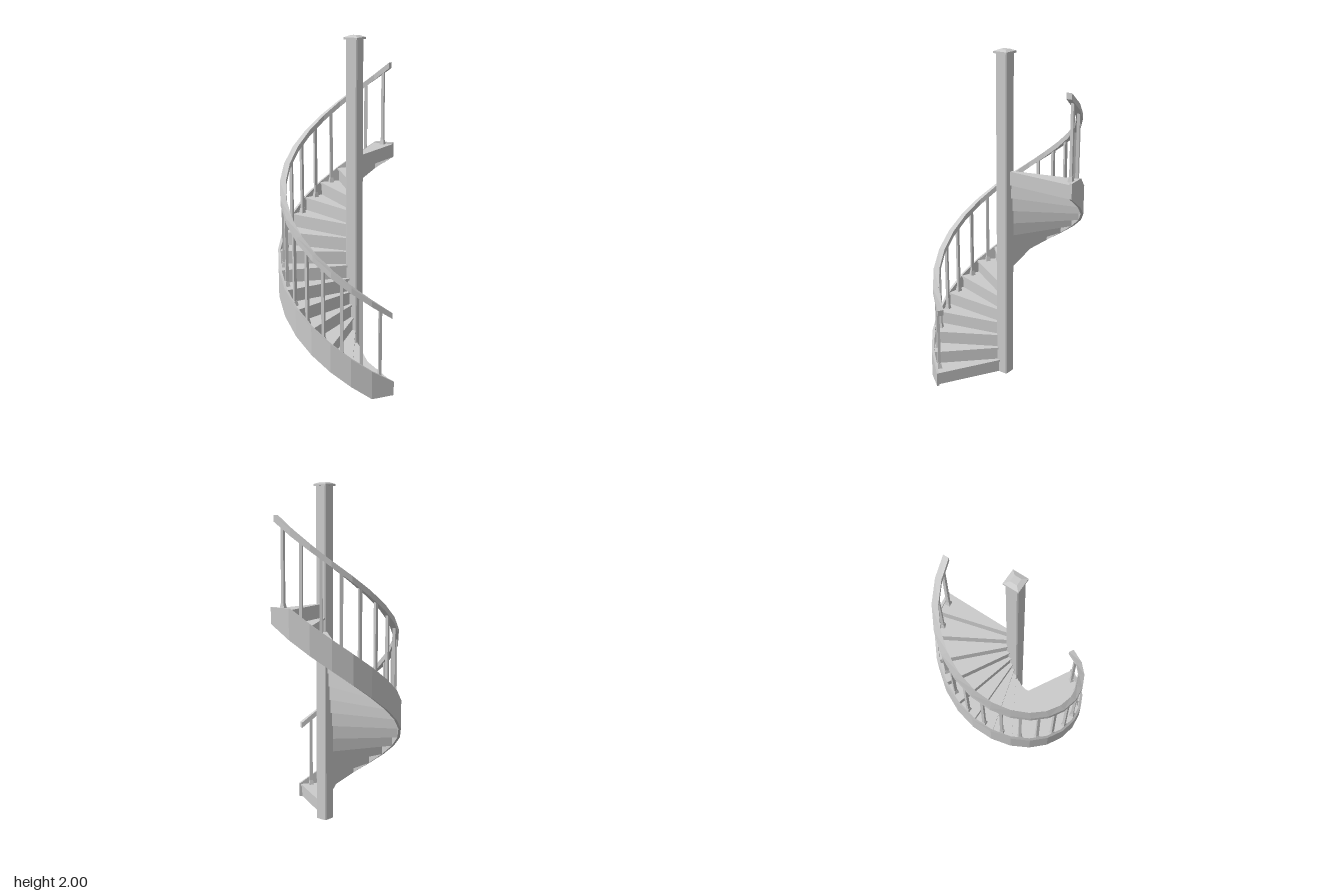
import * as THREE from 'three';

const CX = 0.024, STEPS = 16, RISE = 1.307 / STEPS, START = 30, TURN = 15;
const rad = THREE.MathUtils.degToRad;
const material = new THREE.MeshStandardMaterial({ color: 0xcccccc, flatShading: true });

function add(parent, name, geometry, x = 0, y = 0, z = 0) {
  const mesh = new THREE.Mesh(geometry, material);
  mesh.name = name;
  mesh.position.set(x, y, z);
  parent.add(mesh);
  return mesh;
}

// Flat outline in x/z extruded downwards from y = 0
function slab(points, height) {
  const shape = new THREE.Shape(points.map(([x, z]) => new THREE.Vector2(x, z)));
  return new THREE.ExtrudeGeometry(shape, { depth: height, bevelEnabled: false }).rotateX(Math.PI / 2);
}

// Wedge between two angles; its front edge is moved forward by the nosing
function wedge(a0, a1, radius, nosing, height) {
  const c0 = Math.cos(rad(a0)), s0 = Math.sin(rad(a0));
  const c1 = Math.cos(rad(a1)), s1 = Math.sin(rad(a1));
  const ox = s0 * nosing, oz = -c0 * nosing;
  const points = [[0, 0], [ox, oz], [c0 * radius + ox, s0 * radius + oz]];
  if (nosing) points.push([c0 * radius, s0 * radius]);
  points.push([c1 * radius, s1 * radius]);
  if (!nosing) points.splice(1, 1);
  return slab(points, height);
}

// Rectangular section swept around the post, with bottom and top heights by angle
function helicalBand(angles, ri, ro, bottom, top) {
  const pos = [], index = [];
  angles.forEach((a, i) => {
    const c = Math.cos(rad(a)), s = Math.sin(rad(a)), b = bottom(a), t = top(a);
    for (const [r, y] of [[ri, b], [ro, b], [ro, t], [ri, t]]) pos.push(c * r, y, s * r);
    if (i === angles.length - 1) return;
    for (let j = 0; j < 4; j++) {
      const p = i * 4 + j, q = i * 4 + (j + 1) % 4;
      index.push(p, q, p + 4, q, q + 4, p + 4);
    }
  });
  const e = (angles.length - 1) * 4;
  index.push(0, 2, 1, 0, 3, 2, e, e + 1, e + 2, e, e + 2, e + 3);
  const g = new THREE.BufferGeometry();
  g.setAttribute('position', new THREE.Float32BufferAttribute(pos, 3));
  g.setIndex(index);
  const flat = g.toNonIndexed();
  flat.computeVertexNormals();
  return flat;
}

// Four-sided frustum with faces square to the axes
function frustum(topWidth, bottomWidth, height) {
  return new THREE.CylinderGeometry(topWidth * Math.SQRT1_2, bottomWidth * Math.SQRT1_2, height, 4)
    .rotateY(Math.PI / 4);
}

export function createModel() {
  const model = new THREE.Group();
  model.name = 'spiralStaircase';
  const stair = new THREE.Group();
  stair.name = 'stair';
  stair.position.x = CX;
  model.add(stair);

  // Central post with slightly chamfered corners, and its cap
  const h = 0.0375, k = h - 0.006;
  const outline = [[h, -k], [h, k], [k, h], [-k, h], [-h, k], [-h, -k], [-k, -h], [k, -h]];
  add(stair, 'post', slab(outline, 1.98), 0, 1.98);
  add(stair, 'capPlate', new THREE.BoxGeometry(0.09, 0.012, 0.09), 0, 1.984);
  add(stair, 'capTop', frustum(0.04, 0.088, 0.01), 0, 1.995);

  const climb = a => RISE * (a - START) / TURN;
  const railBottom = a => 0.475 + climb(a);

  for (let i = 0; i < STEPS; i++) {
    const a = START + i * TURN, top = (i + 1) * RISE, plate = 0.012;
    // Riser block with an overhanging tread
    add(stair, 'riser', wedge(a, a + TURN, 0.444, 0, RISE - plate), 0, top - plate);
    add(stair, 'tread', wedge(a, a + TURN, 0.444, 0.009, plate), 0, top);

    // Baluster and its foot at the middle of the step
    const mid = a + TURN / 2, r = 0.417;
    const baluster = new THREE.Group();
    baluster.name = 'baluster';
    baluster.position.set(Math.cos(rad(mid)) * r, top, Math.sin(rad(mid)) * r);
    baluster.rotation.y = -rad(mid);
    stair.add(baluster);
    const height = railBottom(mid) + 0.012 - top;
    add(baluster, 'balusterShaft', new THREE.BoxGeometry(0.017, height, 0.017), 0, height / 2);
    add(baluster, 'balusterFoot', frustum(0.019, 0.03, 0.03), 0, 0.015);
  }

  // Outer stringer, level at the foot and at the landing
  const sections = Array.from({ length: STEPS }, (_, i) => START + (i + 1) * TURN);
  add(stair, 'stringer', helicalBand([28, ...sections], 0.44, 0.455,
    a => Math.max(0, climb(a - TURN)),
    a => Math.min(1.317, Math.max(0.085, 0.09 + climb(a)))));

  // Handrail
  const railAngles = [28.4, ...sections.slice(0, -1), 268.8];
  add(stair, 'handrail', helicalBand(railAngles, 0.4, 0.435, railBottom, a => railBottom(a) + 0.035));

  return model;
}
